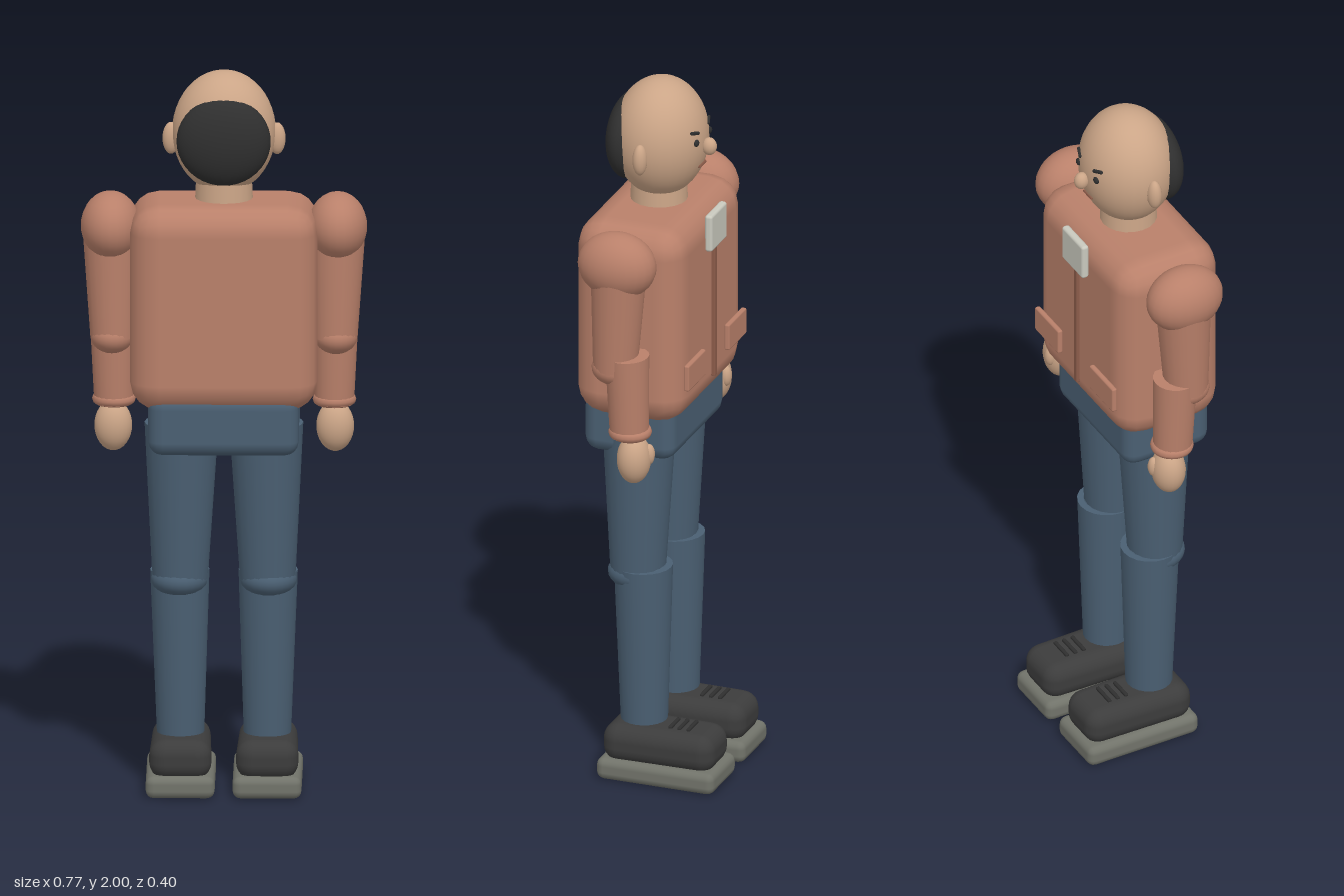
import * as THREE from 'three';
import { RoundedBoxGeometry } from 'three/addons/geometries/RoundedBoxGeometry.js';

export function createModel() {
  const model = new THREE.Group();
  model.name = 'standingMan';

  const material = (name, color) => {
    const m = new THREE.MeshStandardMaterial({ color });
    m.name = name;
    return m;
  };
  const jacket = material('jacket', 0xb9806a);
  const skin = material('skin', 0xcba587);
  const jeans = material('jeans', 0x4a5f72);
  const hair = material('hair', 0x2f2f2f);
  const leather = material('shoeLeather', 0x3c3c3c);
  const rubber = material('soleRubber', 0x71736a);
  const cloth = material('paleCloth', 0xc9c9be);
  const zipColor = material('zip', 0x8c5c4a);

  // helpers
  const add = (name, geometry, mat, x, y, z) => {
    const mesh = new THREE.Mesh(geometry, mat);
    mesh.name = name;
    mesh.position.set(x, y, z);
    model.add(mesh);
    return mesh;
  };
  const ball = (name, mat, [x, y, z], [rx, ry, rz], w = 24, h = 16) =>
    add(name, new THREE.SphereGeometry(1, w, h).scale(rx, ry, rz), mat, x, y, z);
  const block = (name, mat, [x, y, z], [w, h, d], r, seg = 2) =>
    add(name, new RoundedBoxGeometry(w, h, d, seg, r), mat, x, y, z);
  const limb = (name, mat, top, bottom, rTop, rBottom) => {
    const a = new THREE.Vector3(...top), b = new THREE.Vector3(...bottom);
    const axis = a.clone().sub(b);
    const c = a.clone().add(b).multiplyScalar(0.5);
    const mesh = add(name, new THREE.CylinderGeometry(rTop, rBottom, axis.length(), 20), mat, c.x, c.y, c.z);
    mesh.quaternion.setFromUnitVectors(new THREE.Vector3(0, 1, 0), axis.normalize());
    return mesh;
  };
  // depth of the face surface at a given point
  const faceZ = (x, y) =>
    0.03 - 0.13 * Math.sqrt(1 - (x / 0.14) ** 2 - ((y - 1.832) / 0.168) ** 2);

  // head, facing -z
  ball('head', skin, [0, 1.832, 0.03], [0.14, 0.168, 0.13], 32, 24);
  ball('hairPatch', hair, [0, 1.823, 0.112], [0.127, 0.122, 0.061], 32, 20);
  ball('nose', skin, [0, 1.82, -0.11], [0.019, 0.025, 0.021], 16, 12);
  const mouth = block('mouth', zipColor, [0, 1.765, faceZ(0, 1.765)], [0.045, 0.007, 0.008], 0.002, 1);
  mouth.rotation.x = 0.3;
  limb('neck', skin, [0, 1.71, 0.035], [0, 1.6, 0.035], 0.075, 0.08);

  // jacket body and front details
  block('torso', jacket, [0, 1.365, 0.038], [0.505, 0.57, 0.316], 0.08, 2);
  block('zipStrip', zipColor, [0, 1.345, -0.123], [0.016, 0.39, 0.014], 0.003, 1);
  block('neckPatch', cloth, [0, 1.587, -0.129], [0.116, 0.106, 0.022], 0.008);
  block('pelvis', jeans, [0, 1.045, 0.05], [0.406, 0.17, 0.262], 0.04);

  for (const s of [1, -1]) {
    // face
    ball('ear', skin, [s * 0.143, 1.814, 0.035], [0.023, 0.044, 0.02], 16, 12);
    ball('eye', hair, [s * 0.048, 1.845, faceZ(0.048, 1.845)], [0.011, 0.01, 0.007], 12, 8);
    const brow = block('eyebrow', hair, [s * 0.05, 1.874, faceZ(0.05, 1.874) - 0.001], [0.034, 0.009, 0.009], 0.003, 1);
    brow.rotation.set(-0.2, -s * 0.38, s * 0.2);

    // pocket flap
    block('pocket', jacket, [s * 0.15, 1.225, -0.127], [0.13, 0.075, 0.016], 0.005, 1);

    // arm
    ball('shoulder', jacket, [s * 0.306, 1.572, 0.037], [0.08, 0.093, 0.11]);
    limb('upperArm', jacket, [s * 0.305, 1.56, 0.033], [s * 0.3, 1.265, 0.045], 0.076, 0.06);
    ball('elbow', jacket, [s * 0.302, 1.268, 0.045], [0.058, 0.047, 0.064]);
    limb('forearm', jacket, [s * 0.302, 1.31, 0.01], [s * 0.297, 1.075, 0.005], 0.06, 0.053);
    const cuff = add('cuff', new THREE.TorusGeometry(0.043, 0.016, 10, 24), jacket, s * 0.297, 1.085, 0.003);
    cuff.rotation.x = Math.PI / 2;
    ball('hand', skin, [s * 0.299, 1.008, -0.009], [0.051, 0.07, 0.046]);
    ball('thumb', skin, [s * 0.285, 1.02, -0.047], [0.017, 0.03, 0.016], 12, 10);

    // leg
    limb('thigh', jeans, [s * 0.114, 1.03, 0.048], [s * 0.118, 0.6, 0.05], 0.1, 0.075);
    ball('knee', jeans, [s * 0.12, 0.597, 0.047], [0.077, 0.05, 0.085]);
    limb('shin', jeans, [s * 0.119, 0.62, 0.034], [s * 0.117, 0.17, 0.032], 0.08, 0.064);

    // shoe with narrowed toe and laces
    block('sole', rubber, [s * 0.117, 0.035, -0.03], [0.186, 0.062, 0.34], 0.022);
    const upper = new RoundedBoxGeometry(0.168, 0.11, 0.32, 3, 0.045);
    const p = upper.attributes.position;
    for (let i = 0; i < p.count; i++)
      if (p.getZ(i) < -0.11) p.setX(i, p.getX(i) * 0.94);
    add('shoeUpper', upper, leather, s * 0.117, 0.106, -0.029);
    for (let i = 0; i < 3; i++)
      block('lace', hair, [s * 0.117, 0.162, -0.055 - i * 0.026], [0.07, 0.01, 0.011], 0.003, 1);
  }

  return model;
}
